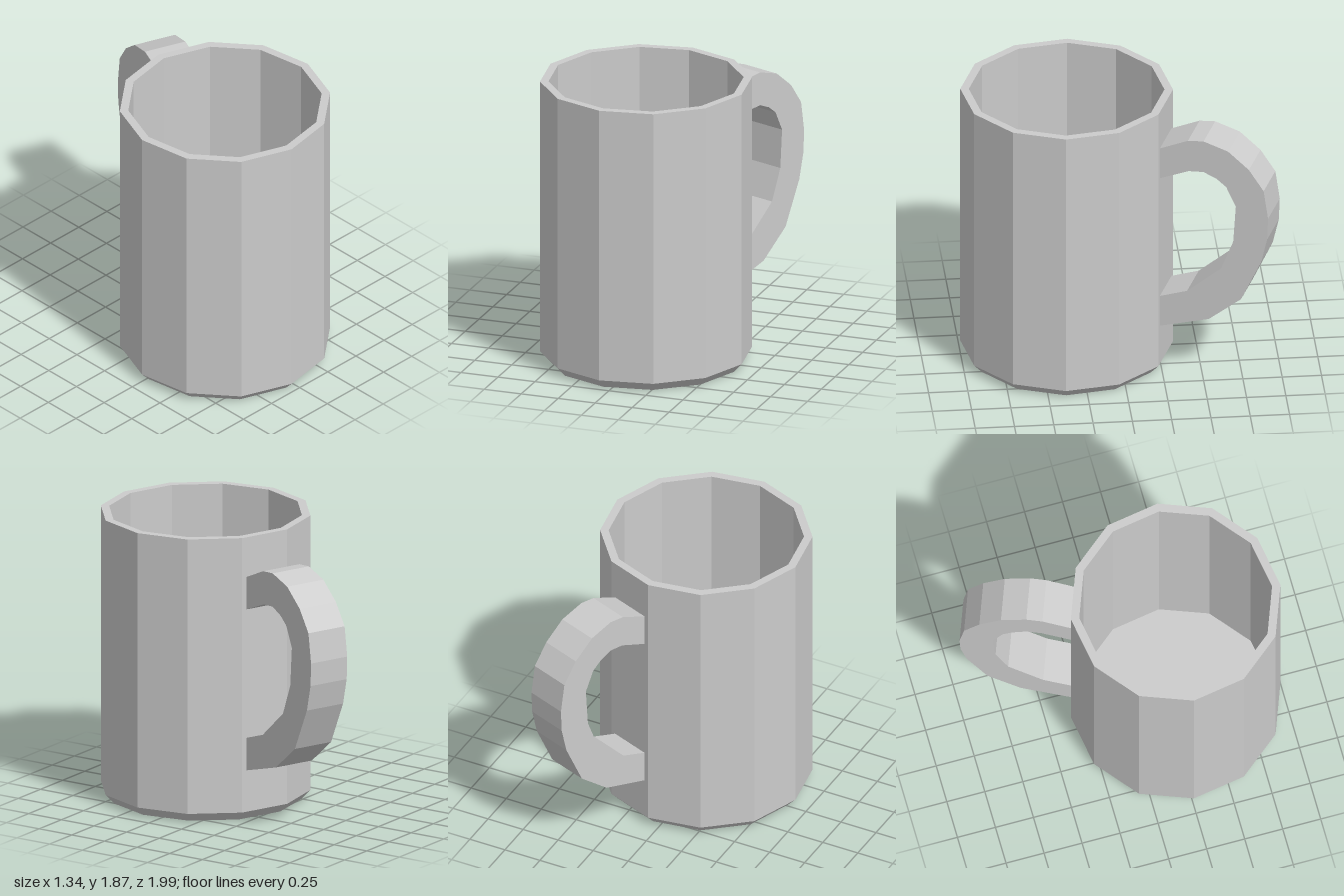
import * as THREE from 'three';

const CUP_Z = 0.325; // cup axis sits forward of the origin
const TURN = THREE.MathUtils.degToRad(5.7); // twist of the whole mug
const SIDES = 12;

const material = new THREE.MeshStandardMaterial({ color: 0xcccccc, flatShading: true });
const toPoints = (list) => list.map(([x, y]) => new THREE.Vector2(x, y));

// Hollow cup: chamfered base, straight wall, flat rim, inner wall and floor
function createCup() {
  const profile = toPoints([
    [0, 0], [0.618, 0], [0.674, 0.06], [0.674, 1.87],
    [0.62, 1.87], [0.62, 0.06], [0, 0.06],
  ]);
  const cup = new THREE.Mesh(new THREE.LatheGeometry(profile, SIDES, -TURN), material);
  cup.name = 'cup';
  return cup;
}

// Handle: side outline (distance from cup axis, height) extruded to its width
function createHandle() {
  const width = 0.28;
  const outer = [
    [0.647, 1.607], [0.835, 1.69], [0.938, 1.7], [1.099, 1.65], [1.236, 1.537], [1.333, 1.398],
    [1.362, 1.205], [1.356, 1.055], [1.316, 0.884], [1.184, 0.6], [0.973, 0.428], [0.647, 0.332],
  ];
  const inner = [
    [0.647, 0.546], [0.83, 0.61], [1.053, 0.803], [1.133, 1.007], [1.15, 1.26],
    [1.087, 1.393], [1.024, 1.443], [0.938, 1.48], [0.841, 1.473], [0.647, 1.393],
  ];
  const shape = new THREE.Shape(toPoints([...outer, ...inner]));
  const geometry = new THREE.ExtrudeGeometry(shape, { depth: width, bevelEnabled: false });
  geometry.translate(0, 0, -width / 2);

  const handle = new THREE.Mesh(geometry, material);
  handle.name = 'handle';
  // Stand square on the middle of one cup facet
  handle.rotation.y = Math.PI / 2 - (TURN + Math.PI / SIDES);
  return handle;
}

export function createModel() {
  const mug = new THREE.Group();
  mug.name = 'mug';
  const body = new THREE.Group();
  body.name = 'mugBody';
  body.position.z = CUP_Z;
  body.add(createCup(), createHandle());
  mug.add(body);
  return mug;
}
